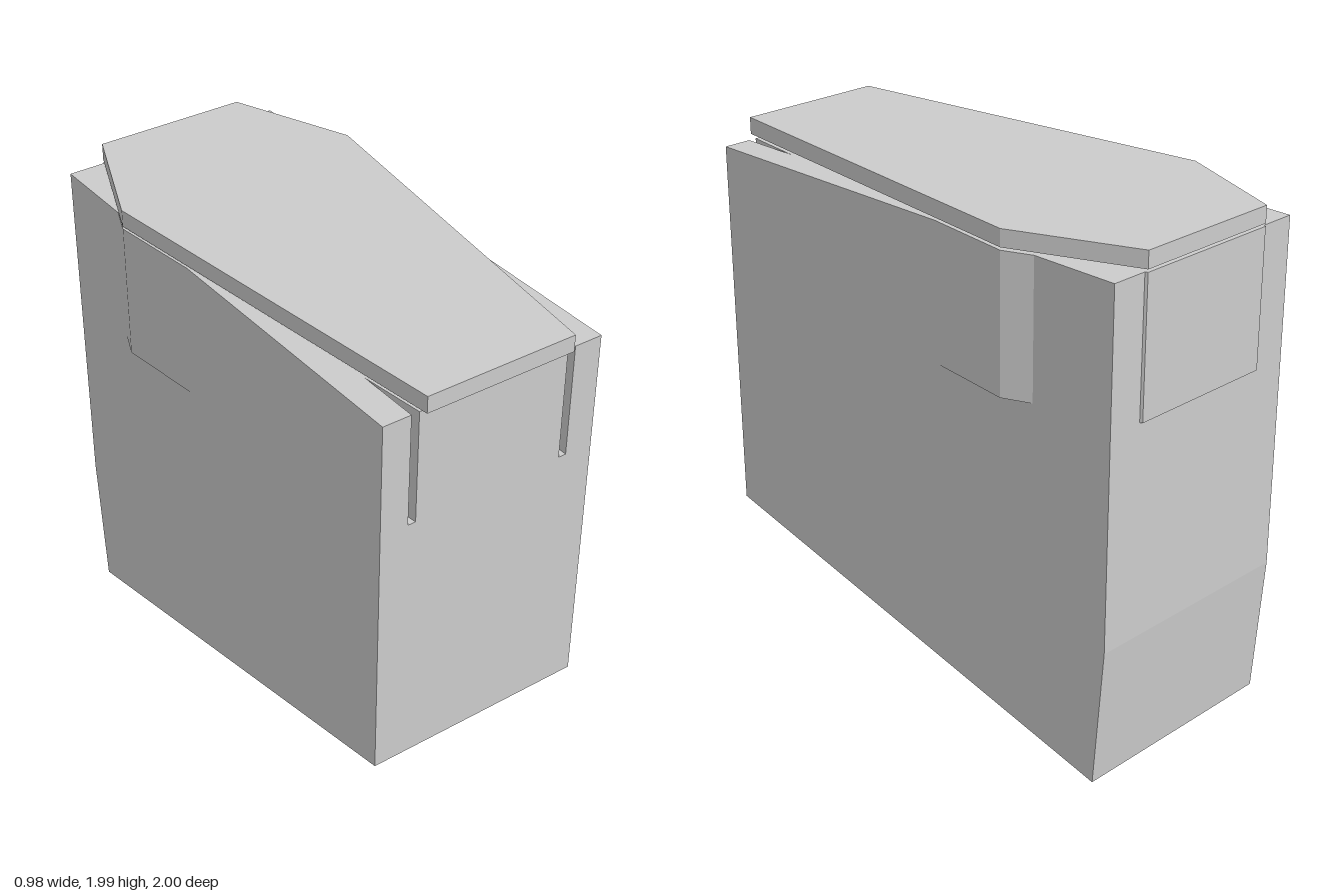
import * as THREE from 'three';

const material = new THREE.MeshStandardMaterial({ color: 0xcccccc, flatShading: true });
const toShape = pts => new THREE.Shape(pts.map(p => new THREE.Vector2(...p)));

function addMesh(group, name, geometry) {
  const mesh = new THREE.Mesh(geometry, material);
  mesh.name = name;
  group.add(mesh);
}

// Side profile in (z, y), extruded across from x0 to x1
function acrossX(pts, x0, x1) {
  const g = new THREE.ExtrudeGeometry(toShape(pts), { depth: x1 - x0, bevelEnabled: false });
  return g.rotateY(-Math.PI / 2).translate(x1, 0, 0);
}

// Six-sided coffin outline in (x, z), extruded from y0 up to y1
function coffinSlab({ foot, footZ, shoulder, shoulderZ, head, headZ }, y0, y1) {
  const half = [[foot, footZ], [shoulder, shoulderZ], [head, headZ]];
  const pts = [...half, ...half.map(([x, z]) => [-x, z]).reverse()];
  const g = new THREE.ExtrudeGeometry(toShape(pts), { depth: y1 - y0, bevelEnabled: false });
  return g.rotateX(Math.PI / 2).translate(0, y1, 0);
}

export function createModel() {
  const model = new THREE.Group();
  model.name = 'coffinInGround';

  // Ground block with a slanted underside and a trench open at the top and front
  const front = 0.967, back = -0.99, top = 1.91, floor = 1.47;
  const halfWidth = 0.447, trench = 0.335, trenchBack = -0.9;
  const underside = [[back, top], [back, 0.55], [-0.95, 0], [front, 0.43]];
  const sideProfile = [...underside, [front, top]];
  const trenchProfile = [...underside, [front, floor], [trenchBack, floor], [trenchBack, top]];
  const ground = new THREE.Group();
  ground.name = 'groundBlock';
  addMesh(ground, 'groundLeft', acrossX(sideProfile, trench, halfWidth));
  addMesh(ground, 'groundRight', acrossX(sideProfile, -halfWidth, -trench));
  addMesh(ground, 'groundMiddle', acrossX(trenchProfile, -trench, trench));
  model.add(ground);

  // Coffin: body lying in the trench, inset lip, overhanging lid
  const shoulders = { shoulder: 0.492, shoulderZ: -0.53, head: 0.3, headZ: -1 };
  addMesh(model, 'coffinBody', coffinSlab({ ...shoulders, foot: 0.304, footZ: front }, 1.38, 1.91));
  addMesh(model, 'lidLip', coffinSlab(
    { foot: 0.265, footZ: 0.91, shoulder: 0.445, shoulderZ: -0.53, head: 0.26, headZ: -0.91 }, 1.9, 1.93));
  addMesh(model, 'coffinLid', coffinSlab({ ...shoulders, foot: 0.3, footZ: 1 }, 1.92, 1.985));

  return model;
}
